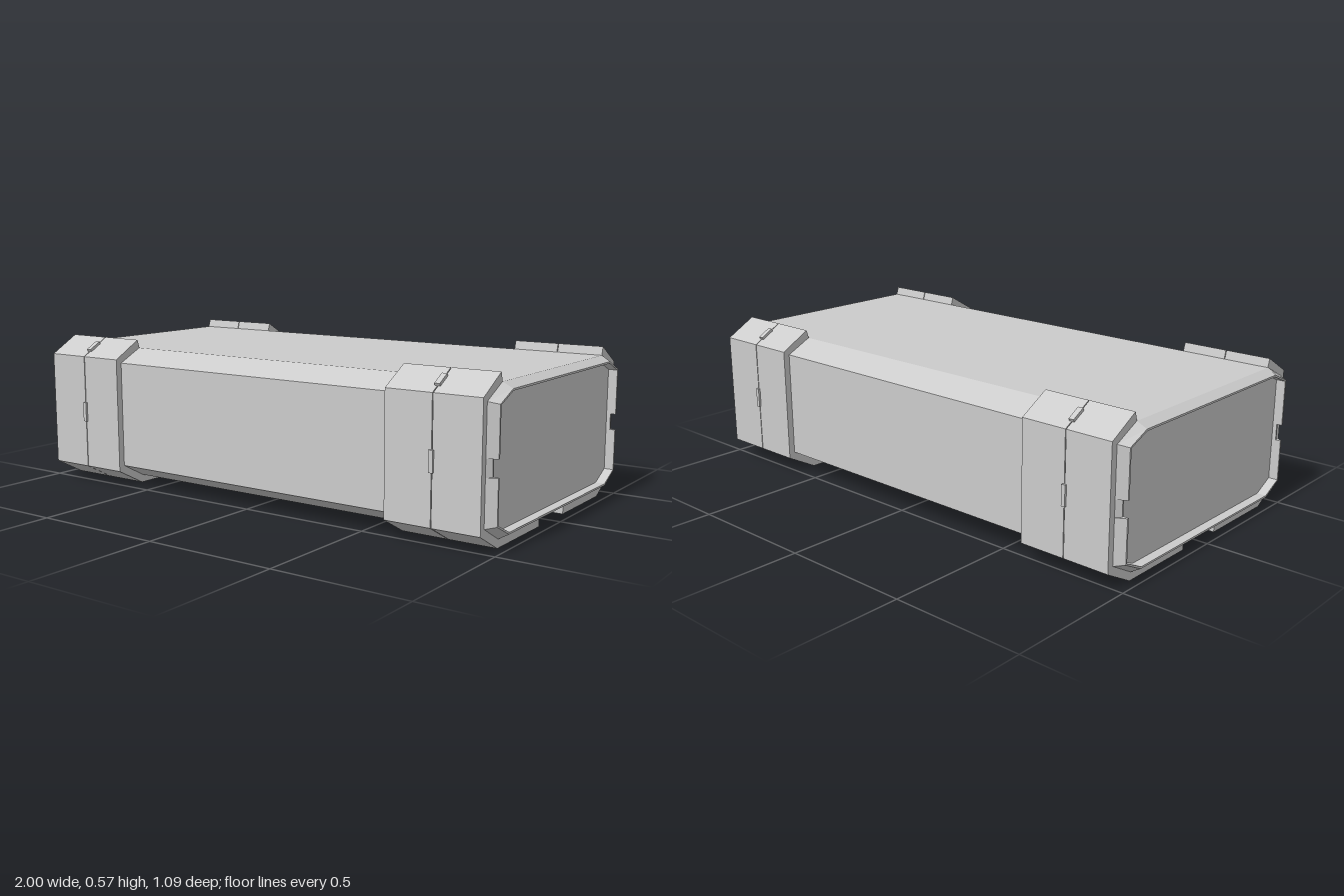
import * as THREE from 'three';

const material = new THREE.MeshStandardMaterial({ color: 0xcccccc, flatShading: true });

// Chamfered cross-section [z, y, notched], shrunk inward by d; each side carries a notch.
function section(d) {
  const half = [
    [0.41 - 0.3 * d, 0.03 + d, 0], [0.51 - d, 0.085 + 0.4 * d, 0],
    [0.51 - d, 0.25, 0], [0.51 - d, 0.25, 1], [0.51 - d, 0.31, 1], [0.51 - d, 0.31, 0],
    [0.51 - d, 0.49 - 0.4 * d, 0], [0.41 - 0.3 * d, 0.54 - d, 0],
  ];
  return [...half, ...half.slice().reverse().map(([z, y, n]) => [-z, y, n])];
}

// Lofted case body: tapered rims around sunken end panels.
function bodyGeometry() {
  const end = [[0.965, 0], [1, 0.02], [1, 0.027], [0.965, 0.027]];
  const stations = [...end.slice().reverse().map(([x, d]) => [-x, d]), ...end];
  const loops = stations.map(([x, d]) => section(d).map(([z, y, n]) =>
    [n && Math.abs(x) === 1 ? Math.sign(x) * 0.98 : x, y, z]));
  const pos = [];
  const tri = (a, b, c) => pos.push(...a, ...b, ...c);
  const count = loops[0].length;
  for (let s = 0; s < loops.length - 1; s++) {
    const a = loops[s], b = loops[s + 1];
    for (let i = 0; i < count; i++) {
      const j = (i + 1) % count;
      tri(a[i], b[i], b[j]);
      tri(a[i], b[j], a[j]);
    }
  }
  // end panels
  const first = loops[0], last = loops[loops.length - 1];
  for (let k = 1; k < count - 1; k++) {
    tri(first[0], first[k], first[k + 1]);
    tri(last[0], last[k + 1], last[k]);
  }
  const geo = new THREE.BufferGeometry();
  geo.setAttribute('position', new THREE.Float32BufferAttribute(pos, 3));
  geo.computeVertexNormals();
  return geo;
}

// Bracket wrapping from the underside, up the wall and over the top chamfer.
const bracketShape = new THREE.Shape([
  [0.1, 0], [0.415, 0], [0.535, 0.065], [0.535, 0.505], [0.418, 0.572],
  [0.408, 0.538], [0.508, 0.488], [0.508, 0.087], [0.408, 0.032], [0.1, 0.032],
].map(([z, y]) => new THREE.Vector2(-z, y)));

function bracketPlate(x0, x1) {
  const geo = new THREE.ExtrudeGeometry(bracketShape, { depth: x1 - x0, bevelEnabled: false });
  geo.rotateY(Math.PI / 2);
  geo.translate(x0, 0, 0);
  return geo;
}

function addMesh(parent, name, geo) {
  const mesh = new THREE.Mesh(geo, material);
  mesh.name = name;
  parent.add(mesh);
  return mesh;
}

function createBracket(side) {
  const g = new THREE.Group();
  const inner = [0.61, 0.786], outer = [0.789, 0.965];
  for (const [name, [a, b]] of [['innerPlate', inner], ['outerPlate', outer]]) {
    addMesh(g, name, side > 0 ? bracketPlate(a, b) : bracketPlate(-b, -a));
  }
  // clips bridging the seam on the wall and the top chamfer
  addMesh(g, 'wallClip', new THREE.BoxGeometry(0.015, 0.075, 0.016))
    .position.set(side * 0.7875, 0.285, 0.535);
  const clip = addMesh(g, 'topClip', new THREE.BoxGeometry(0.02, 0.016, 0.055));
  clip.position.set(side * 0.7875, 0.538, 0.482);
  clip.rotation.x = 0.52;
  return g;
}

export function createModel() {
  const model = new THREE.Group();
  model.name = 'storageCase';
  addMesh(model, 'caseBody', bodyGeometry());
  for (const front of [true, false]) {
    for (const side of [1, -1]) {
      const bracket = createBracket(side);
      bracket.name = (front ? 'front' : 'back') + ((side > 0) === front ? 'Left' : 'Right') + 'Bracket';
      if (!front) bracket.rotation.y = Math.PI;
      model.add(bracket);
    }
  }
  return model;
}
